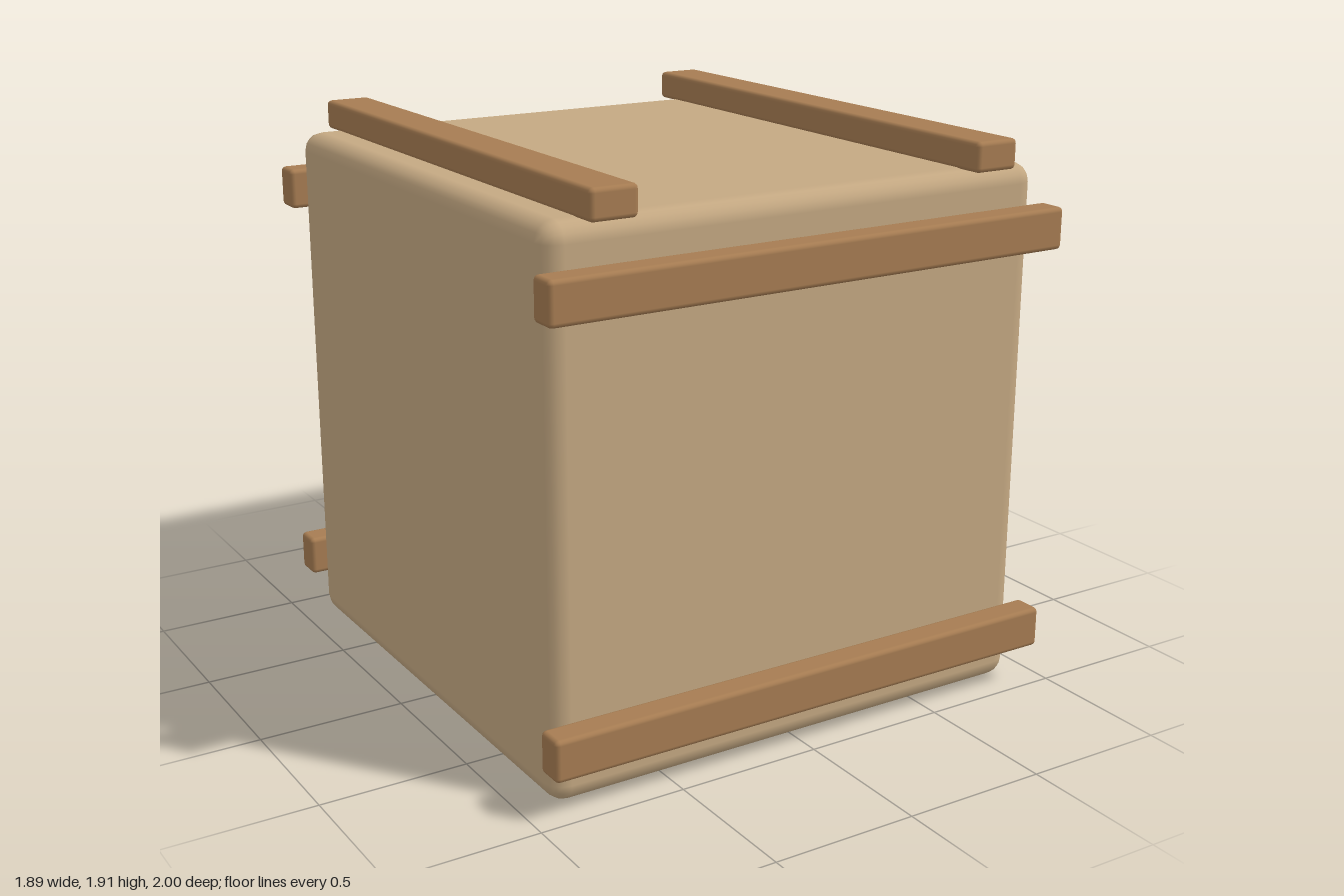
import * as THREE from 'three';
import { RoundedBoxGeometry } from 'three/addons/geometries/RoundedBoxGeometry.js';

const cardboard = new THREE.MeshStandardMaterial({ color: 0xc4a882 });
const wood = new THREE.MeshStandardMaterial({ color: 0xa67c52 });

function roundedBox(name, size, position, radius, material) {
  const mesh = new THREE.Mesh(new RoundedBoxGeometry(...size, 2, radius), material);
  mesh.name = name;
  mesh.position.set(...position);
  return mesh;
}

export function createModel() {
  const crate = new THREE.Group();
  crate.name = 'crate';

  // Rounded cube body
  crate.add(roundedBox('body', [1.81, 1.815, 1.81], [0, 0.9075, 0], 0.065, cardboard));

  // Horizontal slats, two on the front and two on the back
  for (const [side, z] of [['front', 0.95], ['back', -0.95]]) {
    for (const [level, y] of [['Lower', 0.21], ['Upper', 1.61]]) {
      crate.add(roundedBox(`${side}${level}Slat`, [1.89, 0.14, 0.1], [0, y, z], 0.016, wood));
    }
  }

  // Runners across the lid, front to back
  for (const [side, x] of [['left', 0.7], ['right', -0.7]]) {
    crate.add(roundedBox(`${side}LidSlat`, [0.16, 0.1, 1.89], [x, 1.86, 0], 0.016, wood));
  }

  return crate;
}
